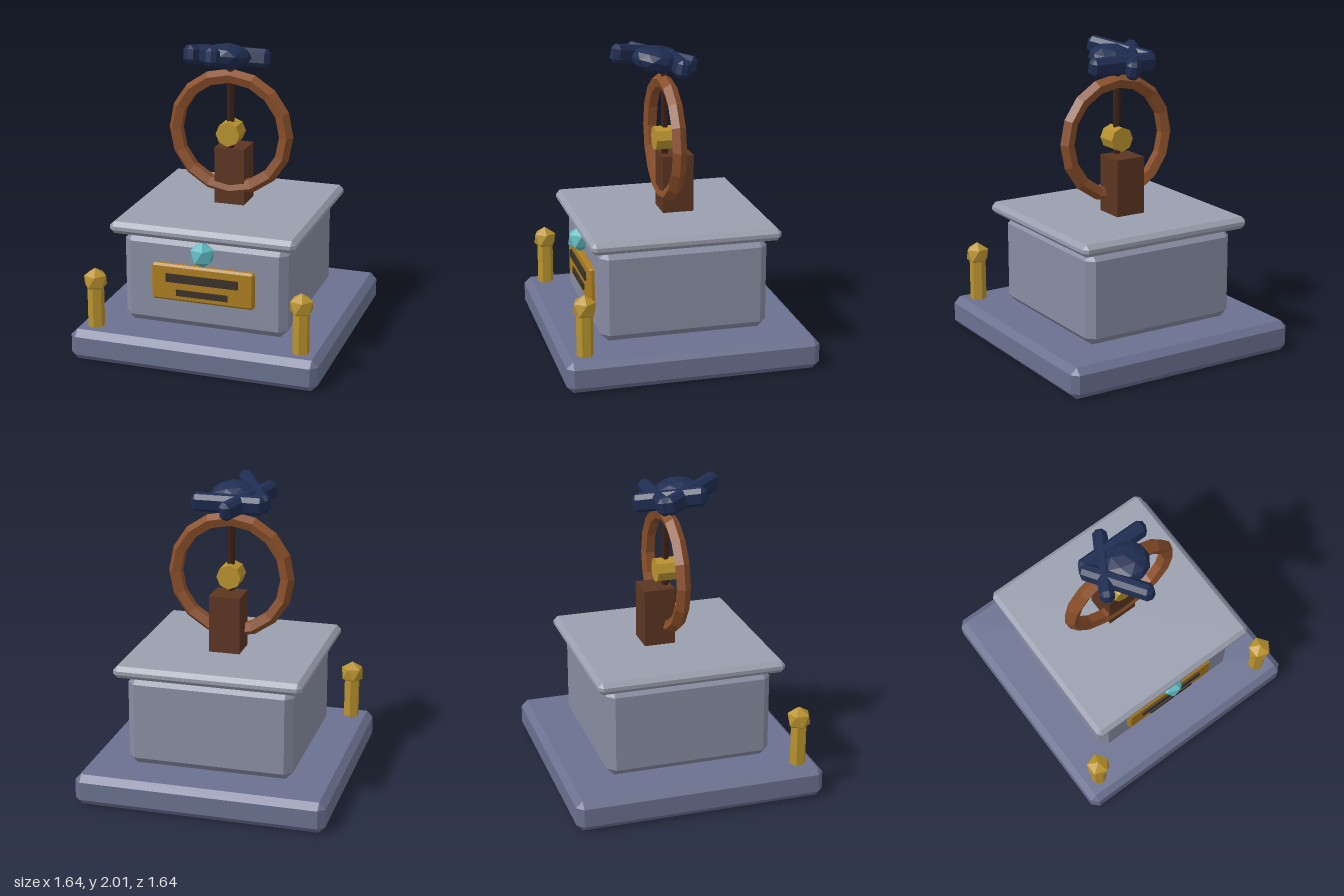
import * as THREE from 'three';
import { ConvexGeometry } from 'three/addons/geometries/ConvexGeometry.js';

const mat = (color) => new THREE.MeshStandardMaterial({ color, flatShading: true });
const M = {
  base: mat(0x6b7190), body: mat(0x888da2), cap: mat(0x9a9fae),
  plaque: mat(0xab7c1f), slot: mat(0x3a3029), gem: mat(0x5fb8bf),
  gold: mat(0xb8922e), ring: mat(0x8a4f2a), block: mat(0x5c3521),
  rod: mat(0x3a2116), navy: mat(0x1f2d52),
};

function add(parent, name, geometry, material, x = 0, y = 0, z = 0) {
  const mesh = new THREE.Mesh(geometry, material);
  mesh.name = name;
  mesh.position.set(x, y, z);
  parent.add(mesh);
  return mesh;
}

// Box with every edge cut at 45 degrees
function chamferBox(w, h, d, b) {
  const points = [];
  for (const sx of [-1, 1]) for (const sy of [-1, 1]) for (const sz of [-1, 1]) {
    const [x, y, z] = [w / 2, h / 2, d / 2];
    points.push(
      new THREE.Vector3(sx * x, sy * (y - b), sz * (z - b)),
      new THREE.Vector3(sx * (x - b), sy * y, sz * (z - b)),
      new THREE.Vector3(sx * (x - b), sy * (y - b), sz * z));
  }
  return new ConvexGeometry(points);
}

// Icosahedron standing on a corner
function uprightIco(r, detail = 0) {
  return new THREE.IcosahedronGeometry(r, detail)
    .rotateX(-Math.atan((1 + Math.sqrt(5)) / 2))
    .rotateY(Math.PI / 2);
}

export function createModel() {
  const model = new THREE.Group();
  model.name = 'pedestal';

  // Stone pedestal
  add(model, 'base', chamferBox(1.644, 0.205, 1.644, 0.042), M.base, 0, 0.1025, 0);
  add(model, 'body', chamferBox(1.094, 0.605, 1.094, 0.05), M.body, 0, 0.5075, 0);
  add(model, 'capSlab', chamferBox(1.232, 0.08, 1.232, 0.028), M.cap, 0, 0.855, 0);

  // Front plaque with two dark strips, and the gem above
  add(model, 'plaque', chamferBox(0.685, 0.245, 0.06, 0.014), M.plaque, 0, 0.518, 0.551);
  add(model, 'upperStrip', new THREE.BoxGeometry(0.48, 0.055, 0.03), M.slot, 0, 0.553, 0.577);
  add(model, 'lowerStrip', new THREE.BoxGeometry(0.345, 0.04, 0.03), M.slot, 0, 0.457, 0.577);
  add(model, 'gem', uprightIco(0.086), M.gem, 0, 0.73, 0.572);

  // Front corner posts
  for (const side of [-1, 1]) {
    const post = new THREE.Group();
    post.name = side > 0 ? 'leftPost' : 'rightPost';
    post.position.set(side * 0.685, 0, 0.685);
    add(post, 'postShaft', new THREE.CylinderGeometry(0.054, 0.054, 0.3, 6), M.gold, 0, 0.35, 0);
    add(post, 'postKnob', uprightIco(0.083), M.gold, 0, 0.518, 0);
    model.add(post);
  }

  // Wheel on its support
  add(model, 'support', new THREE.BoxGeometry(0.205, 0.38, 0.205), M.block, 0, 1.083, -0.068);
  add(model, 'wheelRing', new THREE.TorusGeometry(0.375, 0.049, 5, 16), M.ring, 0, 1.377, 0);
  add(model, 'wheelSpoke', new THREE.CylinderGeometry(0.024, 0.024, 0.83, 6), M.rod, 0, 1.425, 0);
  const hub = new THREE.CylinderGeometry(0.081, 0.081, 0.14, 8).rotateX(Math.PI / 2);
  add(model, 'wheelHub', hub, M.gold, 0, 1.377, 0);

  // Tilted topper: flattened boss with three crossing bars
  const topper = new THREE.Group();
  topper.name = 'topper';
  topper.position.set(0, 1.882, 0);
  topper.rotation.x = -0.2;
  add(topper, 'topperBoss', uprightIco(0.153, 1).scale(1, 0.56, 1), M.navy, 0.0, 0, 0.065);
  const bars = [[0, -0.07, 0], [-0.115, -0.005, Math.PI / 3], [-0.12, 0.138, -Math.PI / 3]];
  for (const [x, z, turn] of bars) {
    add(topper, 'topperBar', chamferBox(0.485, 0.12, 0.09, 0.027), M.navy, x, 0, z).rotation.y = turn;
  }
  model.add(topper);

  return model;
}
